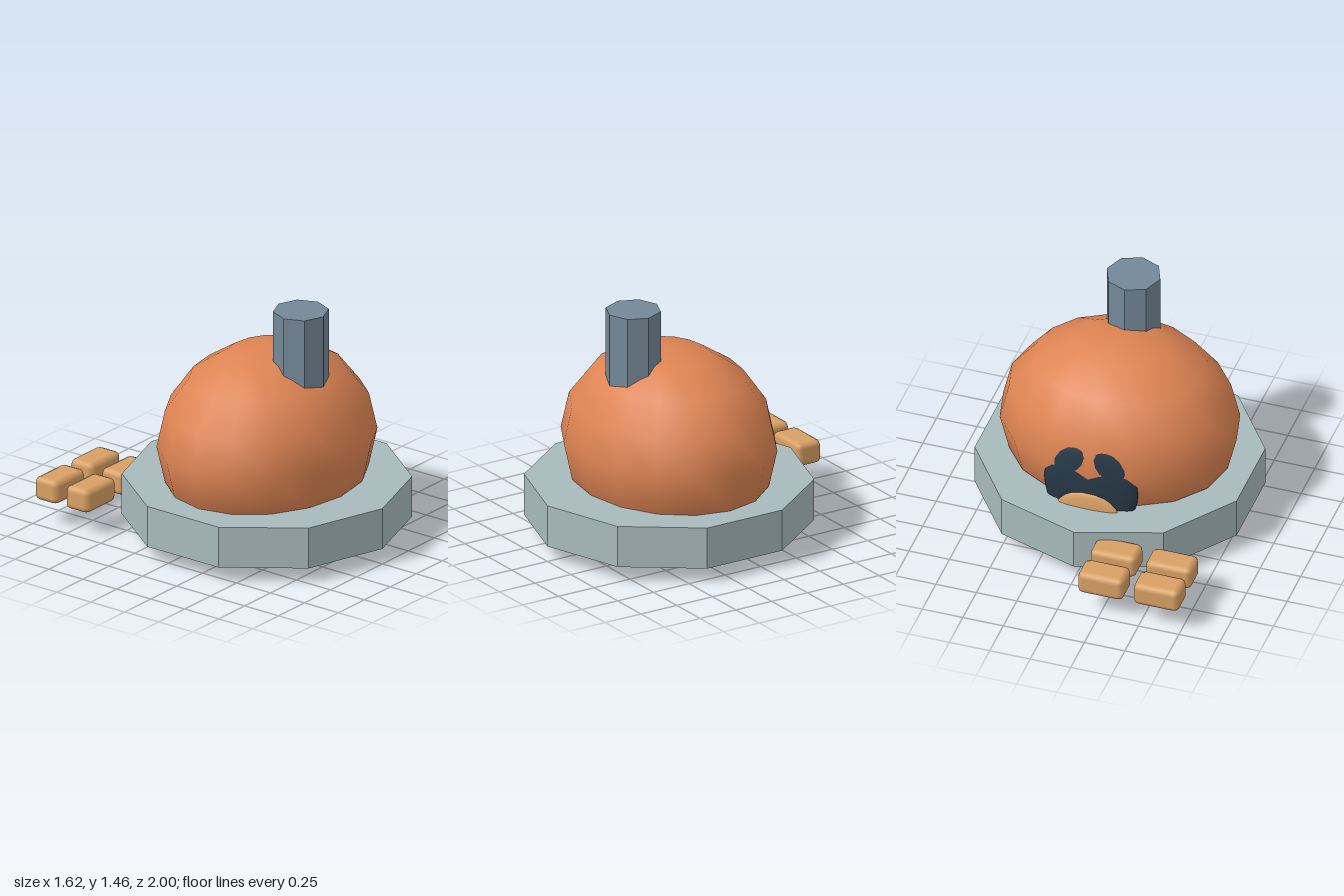
import * as THREE from 'three';
import { RoundedBoxGeometry } from 'three/addons/geometries/RoundedBoxGeometry.js';

const material = (name, color, flatShading = false) => {
  const m = new THREE.MeshStandardMaterial({ color, flatShading });
  m.name = name;
  return m;
};

export function createModel() {
  const group = new THREE.Group();
  group.name = 'domeOven';

  const clay = material('clay orange', 0xde8453);
  const stone = material('pale stone', 0xa8babc);
  const slate = material('slate blue', 0x748898);
  const soot = material('dark soot', 0x263846);
  const tan = material('baked tan', 0xd9a064);

  const add = (name, geometry, mat, x, y, z) => {
    const mesh = new THREE.Mesh(geometry, mat);
    mesh.name = name;
    mesh.position.set(x, y, z);
    group.add(mesh);
    return mesh;
  };

  // Sphere stretched to three radii
  const ellipsoid = (rx, ry, rz, w = 16, h = 8) =>
    new THREE.SphereGeometry(1, w, h).scale(rx, ry, rz);

  // Ten-sided plinth and the dome set into it
  add('plinth', new THREE.CylinderGeometry(0.85, 0.85, 0.255, 10), stone, 0, 0.2275, 0.15)
    .geometry = flat(new THREE.CylinderGeometry(0.85, 0.85, 0.255, 10));
  add('dome', ellipsoid(0.72, 0.588, 0.6), clay, 0, 0.593, 0.15);

  // Eight-sided chimney, sunk into the dome
  add('chimney', flat(new THREE.CylinderGeometry(0.165, 0.165, 0.6, 8)), slate, 0, 1.16, 0.4);

  // Oven mouth at the back with a loaf in front of it
  add('mouth', ellipsoid(0.29, 0.32, 0.065, 24, 16), soot, 0, 0.465, -0.38);
  add('loaf', ellipsoid(0.2, 0.155, 0.03, 16, 12), tan, 0, 0.3, -0.44);

  // Two by two buns behind the plinth
  for (const x of [-0.603, -0.26]) {
    for (const z of [-0.915, -0.687]) {
      add('bun', new RoundedBoxGeometry(0.285, 0.147, 0.17, 1, 0.035), tan, x, 0.227, z);
    }
  }
  return group;
}

// Hard edges between faces
function flat(geometry) {
  const g = geometry.toNonIndexed();
  g.computeVertexNormals();
  return g;
}
